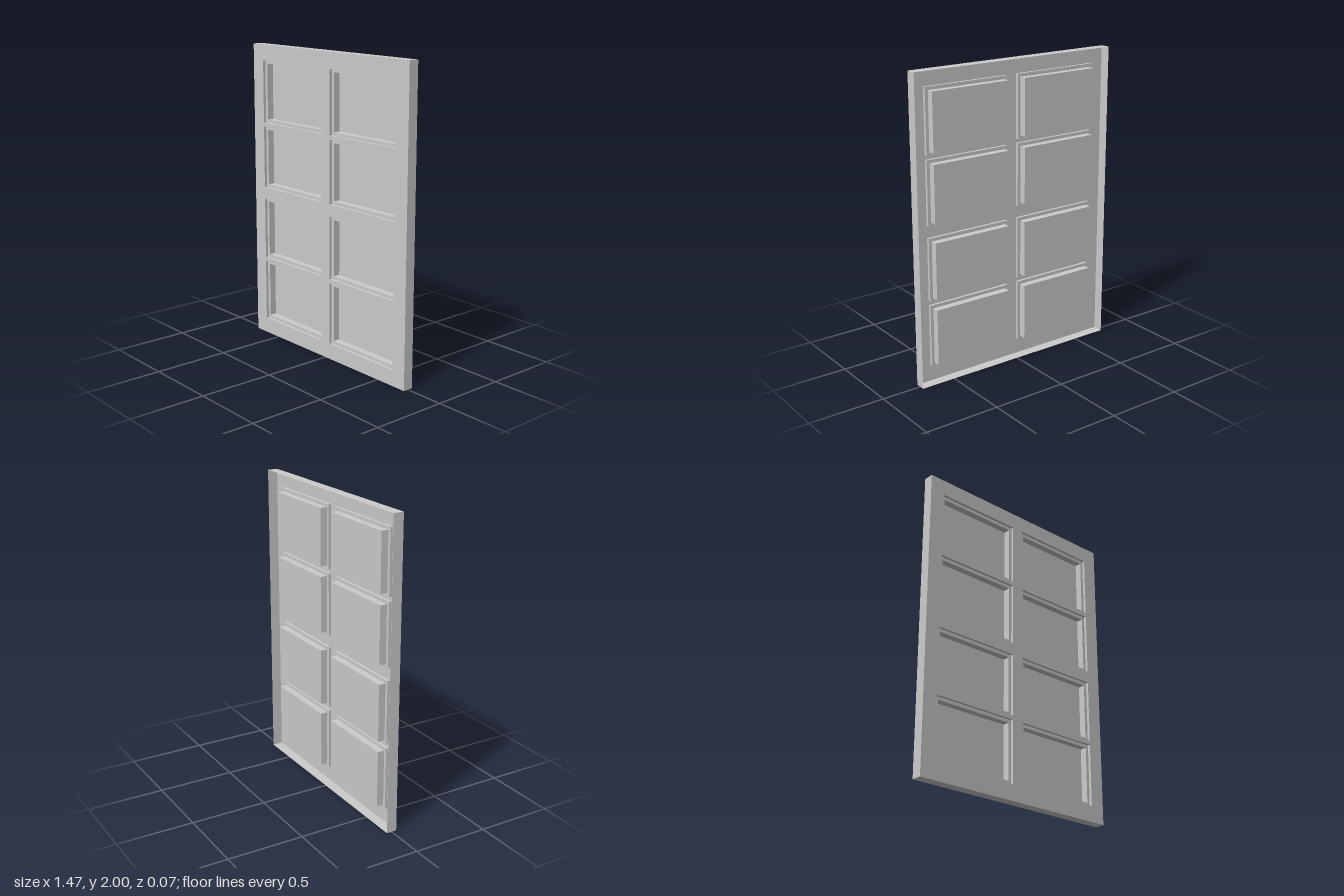
import * as THREE from 'three';

const W = 1.468, H = 2, FRONT = 0.034, BACK = -0.034;
const LEDGE_Z = 0.016, FLOOR_Z = -0.03, INSET = 0.021;
const PANEL_W = 0.592, PANEL_H = 0.414;
const COLUMNS = [-0.337, 0.337], ROWS = [0.312, 0.753, 1.247, 1.688];

const material = new THREE.MeshStandardMaterial({ color: 0xcccccc, side: THREE.DoubleSide });

function addMesh(parent, name, geometry, x = 0, y = 0, z = 0) {
  const mesh = new THREE.Mesh(geometry, material);
  mesh.name = name;
  mesh.position.set(x, y, z);
  parent.add(mesh);
}

// Traces a centred rectangle into a Shape or Path
function rect(path, w, h, x = 0, y = 0) {
  path.moveTo(x - w / 2, y - h / 2);
  path.lineTo(x + w / 2, y - h / 2);
  path.lineTo(x + w / 2, y + h / 2);
  path.lineTo(x - w / 2, y + h / 2);
  path.closePath();
  return path;
}

// Four thin side walls without caps, between two depths
function walls(w, h, z0, z1, inward) {
  const g = new THREE.BoxGeometry(w, h, Math.abs(z1 - z0));
  g.translate(0, 0, (z0 + z1) / 2);
  const index = Array.from(g.index.array).slice(0, 24);
  g.setIndex(inward ? index.reverse() : index);
  g.clearGroups();
  g.computeVertexNormals();
  return g;
}

export function createModel() {
  const door = new THREE.Group();
  door.name = 'panelDoor';

  // Front sheet with an opening for every panel, and the rim folded back
  const sheet = rect(new THREE.Shape(), W, H, 0, H / 2);
  for (const x of COLUMNS)
    for (const y of ROWS) sheet.holes.push(rect(new THREE.Path(), PANEL_W, PANEL_H, x, y));
  addMesh(door, 'frontSheet', new THREE.ShapeGeometry(sheet), 0, 0, FRONT);
  addMesh(door, 'outerRim', walls(W, H, BACK, FRONT, false), 0, H / 2);

  // Shared parts of a stepped recess
  const w = PANEL_W - 2 * INSET, h = PANEL_H - 2 * INSET;
  const ring = rect(new THREE.Shape(), PANEL_W, PANEL_H);
  ring.holes.push(rect(new THREE.Path(), w, h));
  const upper = walls(PANEL_W, PANEL_H, LEDGE_Z, FRONT, true);
  const ledge = new THREE.ShapeGeometry(ring);
  const lower = walls(w, h, FLOOR_Z, LEDGE_Z, true);
  const floor = new THREE.PlaneGeometry(w, h);

  for (const x of COLUMNS)
    for (const y of ROWS) {
      const panel = new THREE.Group();
      panel.name = 'recessedPanel';
      panel.position.set(x, y, 0);
      addMesh(panel, 'upperWalls', upper);
      addMesh(panel, 'ledge', ledge, 0, 0, LEDGE_Z);
      addMesh(panel, 'lowerWalls', lower);
      addMesh(panel, 'panelFloor', floor, 0, 0, FLOOR_Z);
      door.add(panel);
    }
  return door;
}
